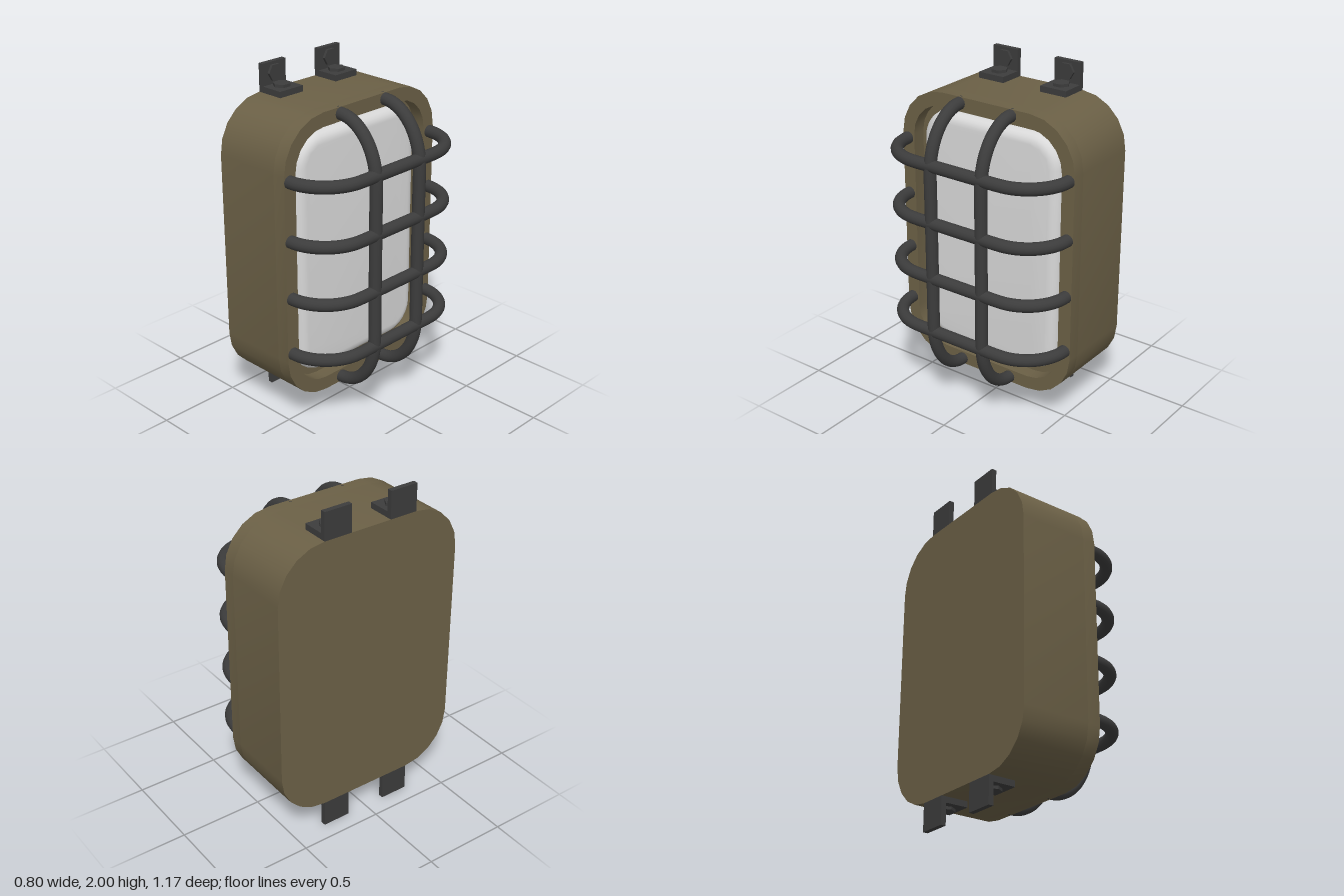
import * as THREE from 'three';
import { toCreasedNormals } from 'three/addons/utils/BufferGeometryUtils.js';

const olive = new THREE.MeshStandardMaterial({ color: 0x6b6046 });
olive.name = 'olive housing';
const dark = new THREE.MeshStandardMaterial({ color: 0x3c3c3c });
dark.name = 'dark metal';
const white = new THREE.MeshStandardMaterial({ color: 0xd8d8d8 });
white.name = 'frosted glass';

const MID = 1.0; // height of the lamp's centre
const FRONT = 0.1; // x of the housing rim

function add(parent, name, geometry, material) {
  const mesh = new THREE.Mesh(geometry, material);
  mesh.name = name;
  parent.add(mesh);
  return mesh;
}

// Corner points of a rounded rectangle given by half sizes
function roundedPoints(hw, hh, r, segments) {
  const points = [];
  [[1, 1], [-1, 1], [-1, -1], [1, -1]].forEach(([sx, sy], corner) => {
    for (let i = 0; i <= segments; i++) {
      const a = (corner + i / segments) * Math.PI / 2;
      points.push(new THREE.Vector2(sx * (hw - r) + r * Math.cos(a), sy * (hh - r) + r * Math.sin(a)));
    }
  });
  return points;
}

// Extrude an outline along +x from x0 to x1
function extrudeX(shape, x0, x1, bevel = {}) {
  const g = new THREE.ExtrudeGeometry(shape, { depth: x1 - x0, bevelEnabled: false, ...bevel });
  g.rotateY(Math.PI / 2);
  g.translate(x0, MID, 0);
  return toCreasedNormals(g, 0.6);
}

// Bent bar: straight middle with a quarter ellipse at each end; (x, u) in the bar's plane
function barGeometry(half, bend, place) {
  const end = [];
  const rise = 0.263;
  for (let i = 0; i <= 8; i++) {
    const a = i / 8 * Math.PI / 2;
    end.push([FRONT + rise * Math.sin(a), half - bend + bend * Math.cos(a)]);
  }
  const side = [[FRONT - 0.02, half], ...end, [FRONT + rise, (half - bend) / 2]];
  const path = [...side, ...side.slice().reverse().map(([x, u]) => [x, -u])];
  const curve = new THREE.CatmullRomCurve3(path.map(([x, u]) => place(x, u)), false, 'centripetal');
  return new THREE.TubeGeometry(curve, 80, 0.036, 14);
}

export function createModel() {
  const model = new THREE.Group();
  model.name = 'bulkheadLamp';

  // Housing: solid back with a raised rim round a shallow recess
  const housing = new THREE.Group();
  housing.name = 'housing';
  model.add(housing);
  const outline = () => new THREE.Shape(roundedPoints(0.586, 0.838, 0.29, 5));
  const floor = 0.02;
  add(housing, 'housingBack', extrudeX(outline(), -0.4, floor), olive);
  const rim = outline();
  rim.holes.push(new THREE.Path(roundedPoints(0.505, 0.758, 0.21, 5)));
  add(housing, 'housingRim', extrudeX(rim, floor, FRONT), olive);

  // Glass with softly rounded edges
  const glass = new THREE.Shape(roundedPoints(0.405, 0.658, 0.12, 6));
  add(model, 'glass', extrudeX(glass, -0.08, 0.02, {
    bevelEnabled: true, bevelThickness: 0.06, bevelSize: 0.06, bevelSegments: 5,
  }), white);

  // Guard cage
  const cage = new THREE.Group();
  cage.name = 'guardCage';
  model.add(cage);
  for (const y of [0.5, 0.84, 1.18, 1.52]) {
    add(cage, 'crossBar', barGeometry(0.55, 0.265, (x, u) => new THREE.Vector3(x, y, u)), dark);
  }
  for (const z of [-0.172, 0.172]) {
    add(cage, 'uprightBar', barGeometry(0.803, 0.33, (x, u) => new THREE.Vector3(x, MID + u, z)), dark);
  }

  // Angle brackets with hex bolts, two above and two below
  for (const s of [1, -1]) {
    for (const z of [-0.212, 0.21]) {
      const bracket = new THREE.Group();
      bracket.name = s > 0 ? 'topBracket' : 'bottomBracket';
      bracket.position.set(-0.4, MID + s * 0.838, z);
      if (s < 0) bracket.rotation.x = Math.PI;
      model.add(bracket);
      add(bracket, 'wallPlate', new THREE.BoxGeometry(0.03, 0.162, 0.17), dark).position.set(0.015, 0.081, 0);
      add(bracket, 'footPlate', new THREE.BoxGeometry(0.167, 0.035, 0.17), dark).position.set(0.0835, 0.0175, 0);
      const hex = toCreasedNormals(new THREE.CylinderGeometry(0.05, 0.05, 0.03, 6), 0.6);
      add(bracket, 'footBolt', hex, dark).position.set(0.088, 0.037, 0);
      const wallBolt = add(bracket, 'wallBolt', hex, dark);
      wallBolt.position.set(0.031, 0.102, 0);
      wallBolt.rotation.z = -Math.PI / 2;
    }
  }
  return model;
}
